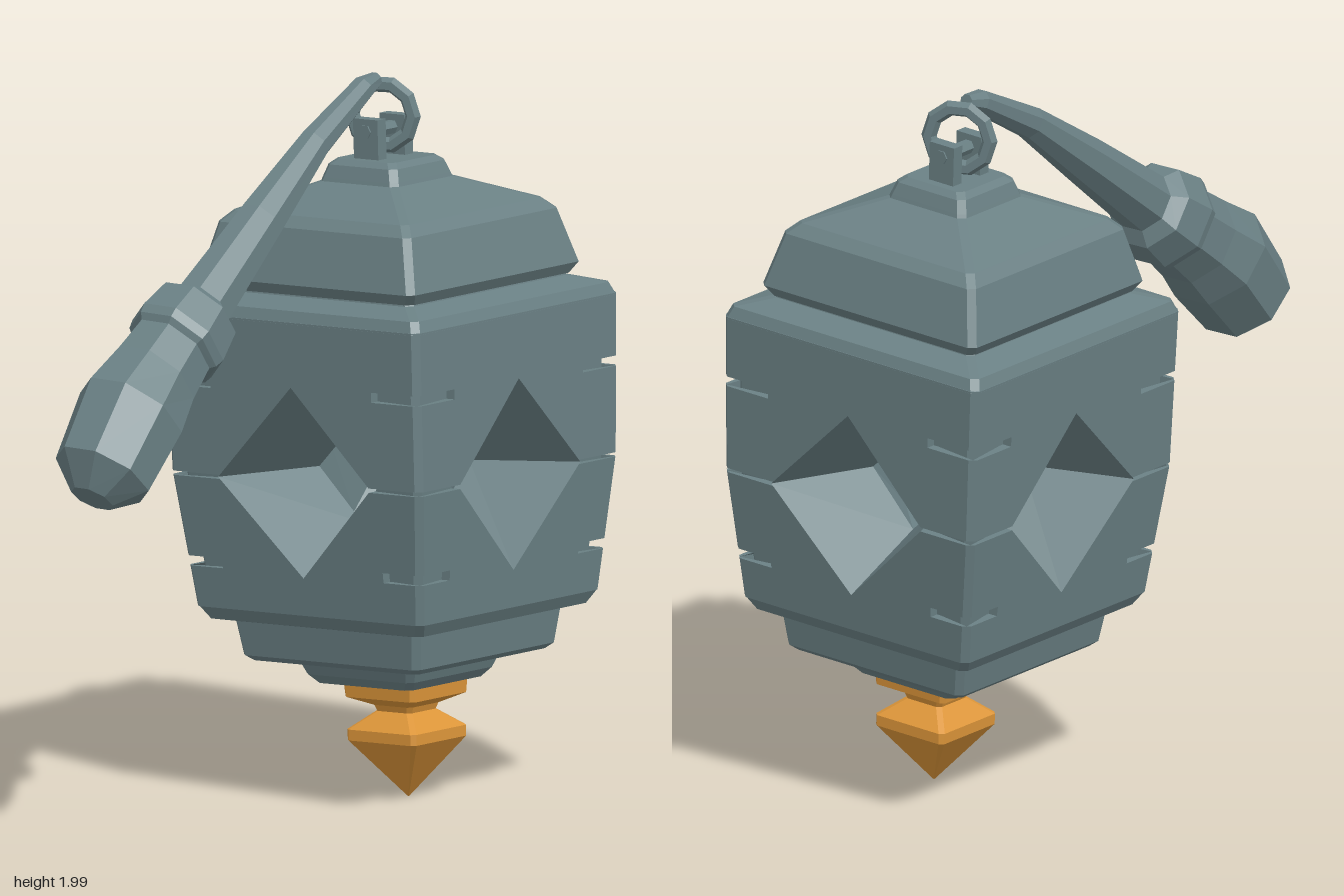
import * as THREE from 'three';

const metal = new THREE.MeshStandardMaterial({ color: 0x6a8084, flatShading: true });
metal.name = 'slate metal';
const gold = new THREE.MeshStandardMaterial({ color: 0xdc9539, flatShading: true });
gold.name = 'orange gold';

function add(parent, name, geometry, material = metal) {
  const mesh = new THREE.Mesh(geometry, material);
  mesh.name = name;
  parent.add(mesh);
  return mesh;
}

function fromTriangles(points) {
  const g = new THREE.BufferGeometry().setFromPoints(points);
  g.computeVertexNormals();
  return g;
}

// Closed skin over cross-sections, listed from bottom to top
function loft(rings) {
  const tri = [];
  const n = rings[0].length;
  const middle = (r) => r.reduce((s, p) => s.add(p), new THREE.Vector3()).divideScalar(n);
  const low = rings[0], high = rings[rings.length - 1];
  const lowMid = middle(low), highMid = middle(high);
  for (let j = 0; j < n; j++) {
    const k = (j + 1) % n;
    for (let i = 0; i < rings.length - 1; i++) {
      const a = rings[i], b = rings[i + 1];
      tri.push(a[j], a[k], b[k], a[j], b[k], b[j]);
    }
    tri.push(lowMid, low[k], low[j], highMid, high[j], high[k]);
  }
  return fromTriangles(tri);
}

// Square tower with chamfered corners from [y, halfWidth] pairs
function squareLoft(profile, chamfer = 0.018) {
  return loft(profile.map(([y, w]) => {
    const c = w - Math.min(chamfer, w * 0.3);
    const corners = [[w, c], [w, -c], [c, -w], [-c, -w], [-w, -c], [-w, c], [-c, w], [c, w]];
    return corners.map(([x, z]) => new THREE.Vector3(x, y, z));
  }));
}

// Body outline: half width at a height
const MID = 0.915, TOP = 1.36, BOTTOM = 0.545, DIAMOND = 0.265;
const wall = (y) => y > MID
  ? THREE.MathUtils.mapLinear(y, MID, TOP, 0.437, 0.446)
  : THREE.MathUtils.mapLinear(y, BOTTOM, MID, 0.395, 0.437);

// Half of a body side above or below the seam, with half the diamond cut out
function panel(sign, notchY, end, gap, inset, depth) {
  const E = 0.42, y0 = MID + sign * gap, d = DIAMOND - gap;
  const right = [[d, y0], [E, y0]];
  if (notchY) {
    const a = notchY - sign * 0.014, b = notchY + sign * 0.014;
    right.push([E, a], [0.28, a], [0.28, b], [E, b]);
  }
  right.push([E, end]);
  const left = right.map(([x, y]) => [-x, y]).reverse();
  const outline = [[0, MID + sign * DIAMOND], ...right, ...left];
  const shape = new THREE.Shape(outline.map(([x, y]) => new THREE.Vector2(x, y)));
  const g = new THREE.ExtrudeGeometry(shape, { depth, bevelEnabled: false });
  const p = g.attributes.position;
  for (let i = 0; i < p.count; i++) {
    const x = p.getX(i), y = p.getY(i), back = depth - p.getZ(i);
    const w = wall(y) - inset;
    if (Math.abs(x) > 0.4) {
      // edges meet the neighbouring side in a narrow chamfer
      const isBack = back > 0.001;
      p.setXYZ(i, Math.sign(x) * (w - (isBack ? 0.009 : 0.018)), y, isBack ? w - 0.009 : w);
    } else p.setZ(i, w - back);
  }
  g.computeVertexNormals();
  return g;
}

// Splayed diamond opening and its quarter of the inner chamber
function funnel() {
  const h = 0.145;
  const v = (x, y, z) => new THREE.Vector3(x, MID + y, z);
  const dirs = [[1, 0], [0, 1], [-1, 0], [0, -1]];
  const outer = dirs.map(([x, y]) => v(x * DIAMOND, y * DIAMOND, wall(MID + y * DIAMOND)));
  const inner = dirs.map(([x, y]) => v(x * h, y * h, h));
  const tri = [];
  for (let j = 0; j < 4; j++) {
    const k = (j + 1) % 4;
    tri.push(outer[j], outer[k], inner[k], outer[j], inner[k], inner[j]);
  }
  tri.push(v(0, h, h), v(h, h, 0), v(h, 0, h), v(0, -h, h), v(h, 0, h), v(h, -h, 0));
  tri.push(v(0, h, 0), v(h, h, 0), v(0, h, h), v(0, -h, 0), v(0, -h, h), v(h, -h, 0));
  return fromTriangles(tri);
}

// Faceted handle from [x, y, z, radius] stations, grip end first
function handleGeometry(stations, sides = 8) {
  const c = stations.map(([x, y, z]) => new THREE.Vector3(x, y, z));
  const e2 = new THREE.Vector3(0, 0, -1);
  return loft(stations.map((s, i) => {
    const from = c[Math.max(i - 1, 0)], to = c[Math.min(i + 1, c.length - 1)];
    const e1 = e2.clone().cross(to.clone().sub(from)).normalize();
    return Array.from({ length: sides }, (_, k) => {
      const a = ((k + 0.5) / sides) * Math.PI * 2;
      return c[i].clone()
        .addScaledVector(e1, Math.cos(a) * s[3] * 1.04)
        .addScaledVector(e2, Math.sin(a) * s[3] * 1.04);
    });
  }));
}

export function createModel() {
  const model = new THREE.Group();
  model.name = 'lantern on handle';

  // Slightly tilted hanging lantern
  const lantern = new THREE.Group();
  lantern.name = 'lantern';
  lantern.position.set(0.445, 0, 0.06);
  lantern.rotation.set(-0.045, 0, -0.016);
  model.add(lantern);

  // Four pierced sides
  for (let i = 0; i < 4; i++) {
    const side = new THREE.Group();
    side.name = 'bodySide';
    side.rotation.y = (i * Math.PI) / 2;
    lantern.add(side);
    for (const [sign, notch, end] of [[1, 1.173, TOP], [-1, 0.672, BOTTOM]]) {
      add(side, 'outerPanel', panel(sign, notch, end, 0.006, 0, 0.03));
      add(side, 'innerPanel', panel(sign, 0, end, 0, 0.028, 0.01));
    }
    add(side, 'diamondOpening', funnel());
  }

  // Rim, roof, cap and stepped base
  add(lantern, 'bodyRim', squareLoft([[1.355, 0.446], [1.39, 0.432], [1.415, 0.35], [1.45, 0.34]]));
  add(lantern, 'roof', squareLoft([
    [1.42, 0.355], [1.45, 0.375], [1.6, 0.335], [1.63, 0.305], [1.7, 0.135],
  ]));
  add(lantern, 'roofCap', squareLoft([[1.685, 0.14], [1.71, 0.132], [1.745, 0.12], [1.76, 0.102]]));
  add(lantern, 'steppedBase', squareLoft([
    [0.32, 0.165], [0.345, 0.187], [0.39, 0.205], [0.39, 0.29], [0.405, 0.308],
    [0.5, 0.322], [0.51, 0.372], [0.548, 0.395],
  ]));

  // Pointed finial
  const finial = add(lantern, 'finial', squareLoft([
    [0, 0.002], [0.16, 0.12], [0.19, 0.12], [0.238, 0.062],
    [0.255, 0.068], [0.28, 0.122], [0.33, 0.126],
  ], 0.012), gold);
  finial.position.z = 0.02;

  // Lugs and pin holding the ring
  for (const s of [-1, 1]) {
    const lug = add(lantern, 'lug', new THREE.BoxGeometry(0.036, 0.12, 0.085));
    lug.position.set(s * 0.058, 1.81, -0.01);
  }
  const pin = add(lantern, 'pin', new THREE.CylinderGeometry(0.02, 0.02, 0.16, 6));
  pin.rotation.z = Math.PI / 2;
  pin.position.set(0, 1.835, -0.01);

  // Hanging ring
  const ring = add(model, 'ring', new THREE.TorusGeometry(0.087, 0.022, 6, 10));
  ring.position.set(0.48, 1.87, -0.038);
  ring.rotation.y = -1.2;

  // Tapered handle with collar and swollen grip
  add(model, 'handle', handleGeometry([
    [-0.875, 1.015, 0.03, 0.06], [-0.828, 1.075, 0.028, 0.135], [-0.69, 1.225, 0.018, 0.15],
    [-0.59, 1.3, 0.01, 0.128], [-0.5, 1.365, 0.004, 0.118], [-0.488, 1.374, 0.003, 0.132],
    [-0.465, 1.39, 0.002, 0.138], [-0.385, 1.448, 0, 0.122], [-0.36, 1.466, 0, 0.084],
    [-0.085, 1.66, -0.015, 0.066], [0.17, 1.835, -0.03, 0.045], [0.4, 1.955, -0.042, 0.033],
    [0.46, 1.97, -0.045, 0.02],
  ]));

  return model;
}
